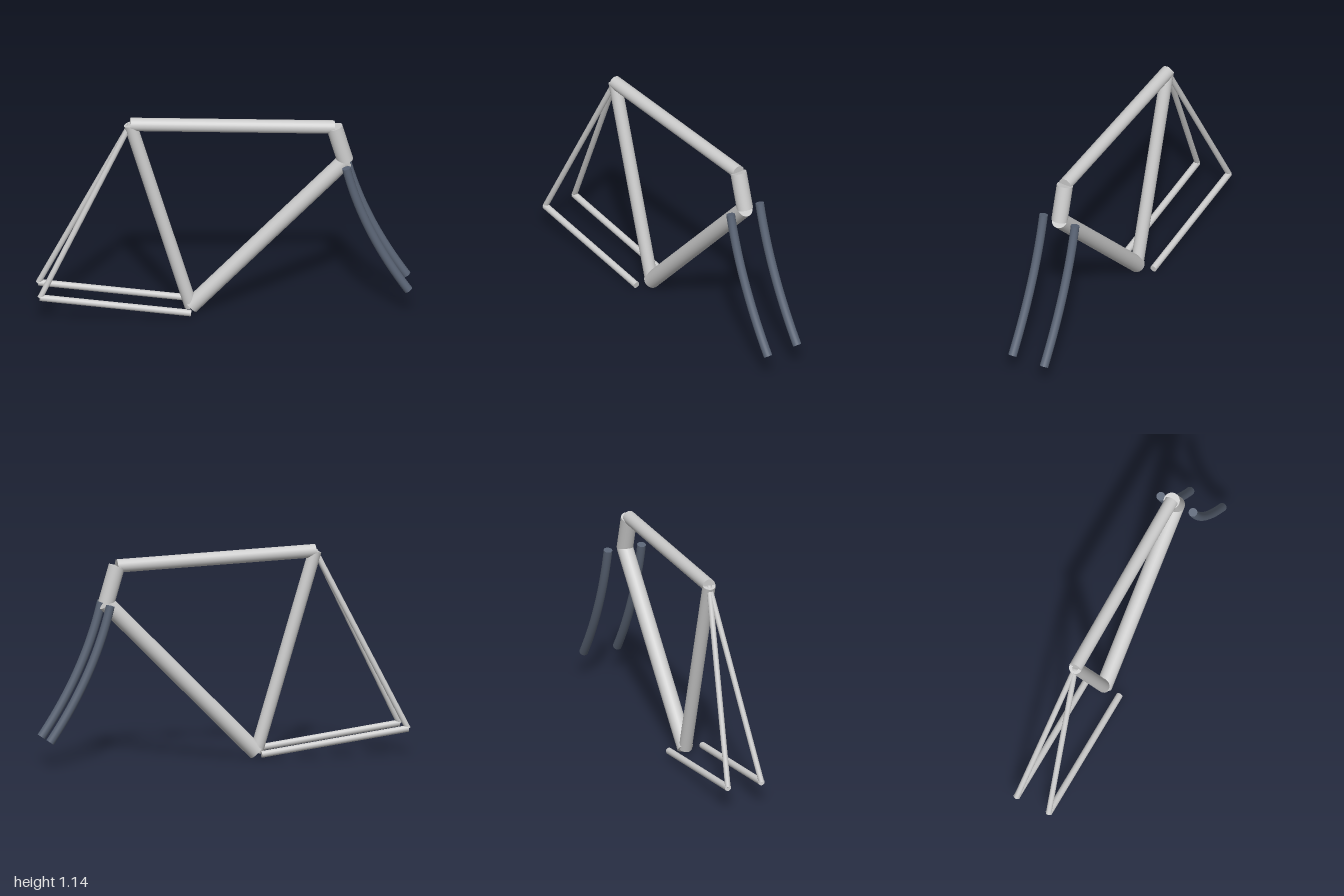
import * as THREE from 'three';

const grey = new THREE.MeshStandardMaterial({ color: 0xcccccc });
const forkPaint = new THREE.MeshStandardMaterial({ color: 0x5a6475 });
const P = (x, y, z = 0) => new THREE.Vector3(x, y, z);
const UP = P(0, 1, 0);

// Straight round tube between two points
function strut(name, a, b, radius) {
  const dir = b.clone().sub(a);
  const mesh = new THREE.Mesh(new THREE.CylinderGeometry(radius, radius, dir.length(), 24), grey);
  mesh.position.copy(a).add(b).multiplyScalar(0.5);
  mesh.quaternion.setFromUnitVectors(UP, dir.normalize());
  mesh.name = name;
  return mesh;
}

// Curved fork blade with closed ends
function forkBlade(name, z) {
  const radius = 0.0235;
  const blade = new THREE.Group();
  blade.name = name;
  const curve = new THREE.QuadraticBezierCurve3(P(0.647, 0.868, z), P(0.735, 0.495, z), P(0.978, 0.145, z));
  const tube = new THREE.Mesh(new THREE.TubeGeometry(curve, 32, radius, 20), forkPaint);
  tube.name = name + 'Tube';
  blade.add(tube);
  for (const t of [0, 1]) {
    const cap = new THREE.Mesh(new THREE.CircleGeometry(radius, 20), forkPaint);
    const outward = curve.getTangent(t).multiplyScalar(t ? 1 : -1);
    cap.position.copy(curve.getPoint(t));
    cap.quaternion.setFromUnitVectors(P(0, 0, 1), outward);
    cap.name = name + (t ? 'LowerCap' : 'UpperCap');
    blade.add(cap);
  }
  return blade;
}

export function createModel() {
  const model = new THREE.Group();
  model.name = 'bicycleFrame';

  // Frame joints
  const bottomBracket = P(-0.177, 0.034);
  const seatCluster = P(-0.5, 1.107);
  const headTop = P(0.588, 1.066);
  const headBottom = P(0.646, 0.868);

  // Main frame
  model.add(
    strut('topTube', seatCluster, headTop, 0.036),
    strut('seatTube', bottomBracket, seatCluster, 0.035),
    strut('downTube', bottomBracket, headBottom, 0.044),
    strut('headTube', headBottom, headTop, 0.044),
  );

  // Mirrored rear stays and fork blades
  for (const [side, s] of [['front', 1], ['back', -1]]) {
    const z = 0.097 * s;
    const dropout = P(-0.985, 0.145, z);
    model.add(
      strut(side + 'ChainStay', P(-0.182, 0.036, z), dropout, 0.018),
      strut(side + 'SeatStay', seatCluster, dropout, 0.015),
      forkBlade(side + 'ForkBlade', z),
    );
  }
  return model;
}
